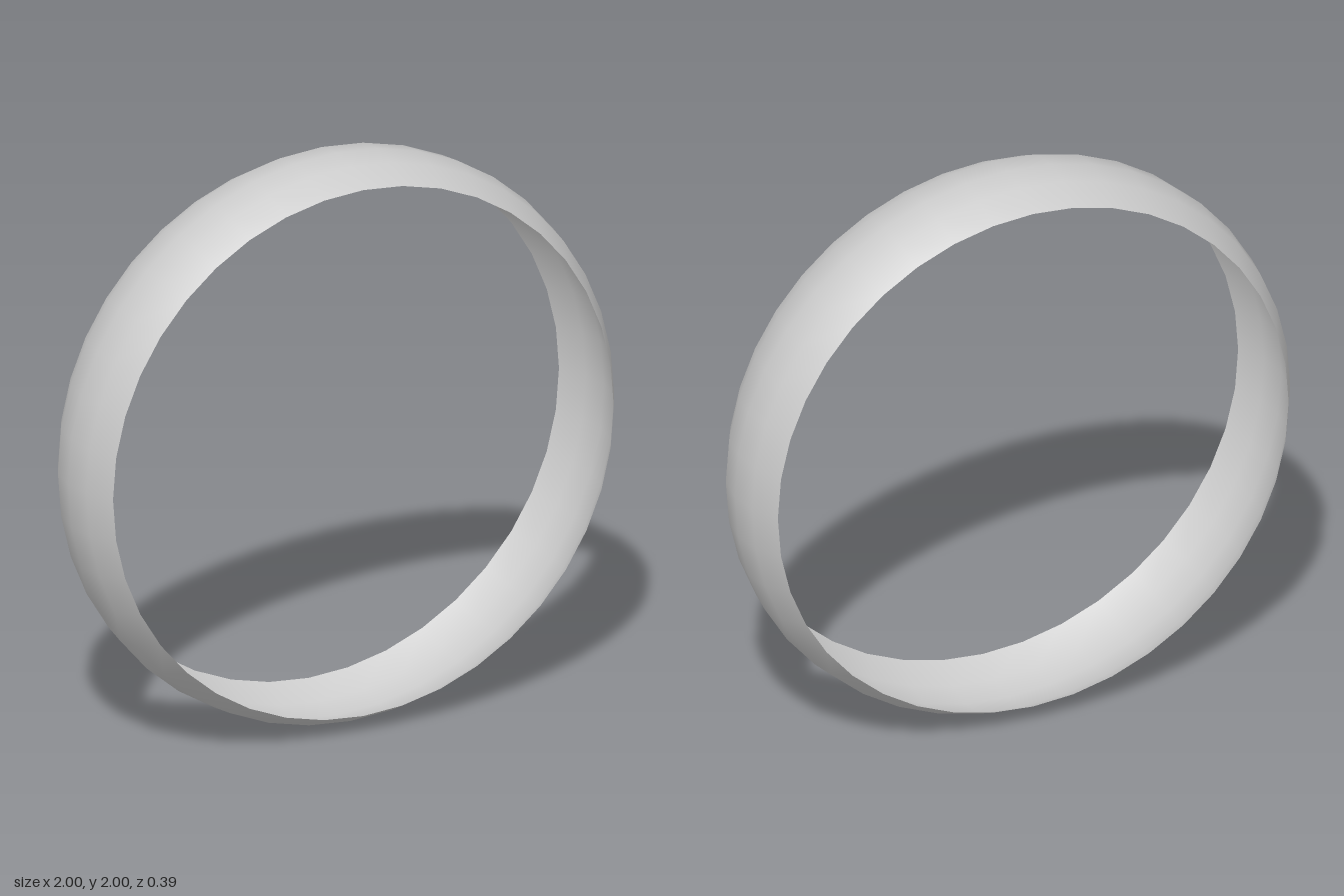
import * as THREE from 'three';

export function createModel() {
  const group = new THREE.Group();
  group.name = 'ring';

  // Bulging cross-section (radius, depth), swept around the ring axis
  const profile = [
    [0.935, -0.197], [0.985, -0.103], [1, 0], [0.985, 0.103], [0.935, 0.197],
  ].map(([r, z]) => new THREE.Vector2(r, z));

  // Thin open band with smooth shading, its axis turned towards the front
  const geometry = new THREE.LatheGeometry(profile, 40);
  geometry.rotateX(Math.PI / 2);
  geometry.translate(0, 1, 0);

  const material = new THREE.MeshStandardMaterial({ color: 0xcccccc, side: THREE.DoubleSide });
  const band = new THREE.Mesh(geometry, material);
  band.name = 'band';
  group.add(band);
  return group;
}
